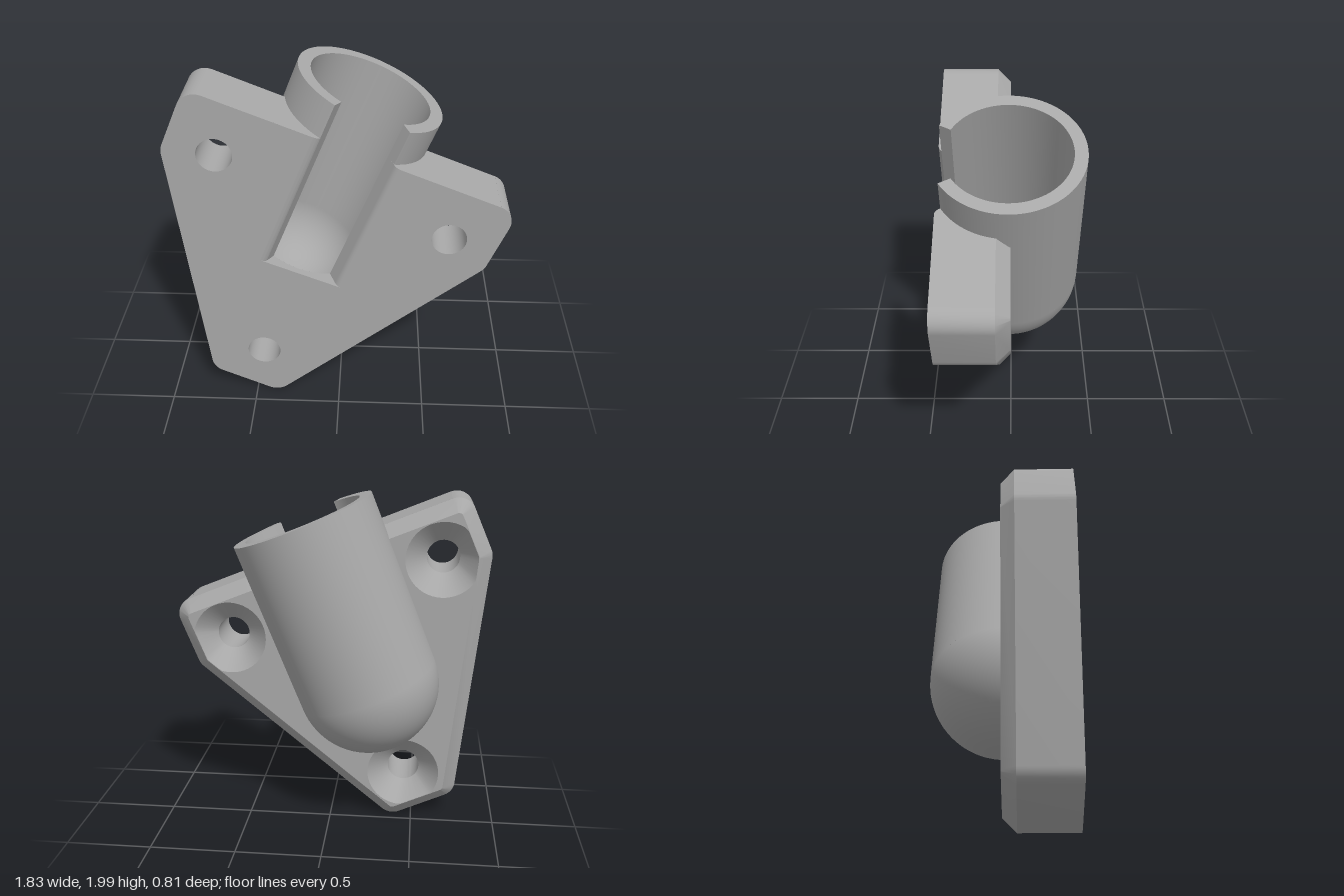
import * as THREE from 'three';
import { toCreasedNormals } from 'three/addons/utils/BufferGeometryUtils.js';

// Everything is built in a frame whose y runs along the socket axis, with the rim centre as origin.
const TILT = 0.3805, RIM = [0.1575, 1.845];
const C = Math.cos(TILT), S = Math.sin(TILT);
const FRONT = 0.4, CHAMFER = 0.075, ROUND = 0.1;   // plate
const TOP = -0.2, END = -1.03;                     // plate top edge, slot end
const R_OUT = 0.417, R_IN = 0.345, R_MID = 0.39, CZ = 0.012; // socket
const HOLE = 0.095, SINK = 0.215, SINK_DEPTH = 0.12;
const SLOT_X = 0.012, SLOT_IN = 0.17, SLOT_OUT = 0.203, SLOT_FACE = 0.24;

const local = ([x, y]) => {
  const dx = x - RIM[0], dy = y - RIM[1];
  return new THREE.Vector2(dx * C - dy * S, dx * S + dy * C);
};
const corners = [[-0.765, 1.998], [-0.915, 1.66], [-0.758, 0.165], [-0.37, -0.012], [0.8, 0.95], [0.945, 1.315]].map(local);
const holes = [[-0.64, 1.63], [0.595, 1.14], [-0.445, 0.315]].map(local);

// Inward normal of the edge that leaves each corner
const normals = corners.map((p, i) => {
  const d = corners[(i + 1) % corners.length].clone().sub(p).normalize();
  return new THREE.Vector2(-d.y, d.x);
});

// Rounded plate outline, moved inward by inset
function outline(inset) {
  const pts = [];
  corners.forEach((p, i) => {
    const n1 = normals[(i + corners.length - 1) % corners.length], n2 = normals[i];
    const centre = n1.clone().add(n2).multiplyScalar(ROUND / (1 + n1.dot(n2))).add(p);
    const a1 = Math.atan2(n1.y, n1.x), turn = Math.acos(n1.dot(n2));
    for (let k = 0; k <= 8; k++) {
      const a = a1 + turn * k / 8, r = ROUND - inset;
      pts.push(new THREE.Vector2(centre.x - r * Math.cos(a), centre.y - r * Math.sin(a)));
    }
  });
  return pts;
}

// Ring round a hole; the countersink stops at the chamfer
function ring(c, radius, clipped) {
  const pts = [];
  for (let k = 0; k < 48; k++) {
    const a = k / 48 * Math.PI * 2, u = new THREE.Vector2(Math.cos(a), Math.sin(a));
    let r = radius;
    if (clipped) normals.forEach((n, i) => {
      const dist = c.clone().sub(corners[i]).dot(n) - CHAMFER - 0.003;
      if (u.dot(n) < 0) r = Math.min(r, dist / -u.dot(n));
    });
    pts.push(u.multiplyScalar(r).add(c));
  }
  return pts;
}

const atZ = (pts, z) => pts.map(p => new THREE.Vector3(p.x, p.y, z));
const atY = (pts, y) => pts.map(p => new THREE.Vector3(p.x, y, p.y));

// Band of faces between two rows of points
function strip(a, b, closed = false) {
  const pos = [], n = a.length;
  for (let i = 0; i < (closed ? n : n - 1); i++) {
    const j = (i + 1) % n;
    for (const v of [a[i], a[j], b[j], a[i], b[j], b[i]]) pos.push(v.x, v.y, v.z);
  }
  const g = new THREE.BufferGeometry();
  g.setAttribute('position', new THREE.Float32BufferAttribute(pos, 3));
  return toCreasedNormals(g, 0.5);
}

function face(pts, rings, z, flip) {
  const shape = new THREE.Shape(pts);
  shape.holes = rings.map(r => new THREE.Path(r));
  const g = new THREE.ShapeGeometry(shape);
  if (flip) g.index.array.reverse();
  g.computeVertexNormals();
  return g.translate(0, 0, z);
}

// Shape given as (x, z) points, laid level
const levelShape = pts => new THREE.Shape(pts.map(p => new THREE.Vector2(p.x, -p.y)));
const levelFace = (pts, y) => new THREE.ShapeGeometry(levelShape(pts)).rotateX(-Math.PI / 2).translate(0, y, 0);

const slotX = (side, half) => SLOT_X + side * half;
const onCircle = (r, a) => new THREE.Vector2(r * Math.cos(a), CZ + r * Math.sin(a));
function arc(r, from, to, n) {
  return Array.from({ length: n + 1 }, (_, i) => onCircle(r, from + (to - from) * i / n));
}

// Rounded slot lip from the socket wall out to the plate front, as (x, z)
function lip(side) {
  const start = onCircle(R_OUT, Math.acos(slotX(side, SLOT_OUT) / R_OUT));
  const end = new THREE.Vector2(slotX(side, SLOT_FACE), FRONT);
  const ctrl = new THREE.Vector2(slotX(side, 0.214), FRONT - 0.004);
  return new THREE.QuadraticBezierCurve(start, ctrl, end).getPoints(6);
}

export function createModel() {
  const root = new THREE.Group();
  root.name = 'angledSocketBracket';
  const body = new THREE.Group();
  body.name = 'body';
  body.rotation.z = -TILT;
  body.position.set(RIM[0], RIM[1], 0);
  root.add(body);

  const grey = new THREE.MeshStandardMaterial({ color: 0xa8a8a8, side: THREE.DoubleSide });
  grey.name = 'grey';
  const add = (name, geometry) => {
    const m = new THREE.Mesh(geometry, grey);
    m.name = name;
    body.add(m);
  };
  const V = (x, y) => new THREE.Vector2(x, y);

  // Plate faces, with the slot open in front and the socket passing through the back
  const outer = outline(0), inner = outline(CHAMFER);
  const r = slotX(1, SLOT_FACE), l = slotX(-1, SLOT_FACE);
  add('plateFront', face([...outer, V(r, TOP), V(r, END), V(l, END), V(l, TOP)],
    holes.map(h => ring(h, HOLE)), FRONT));
  const cut = [V(R_MID, TOP - CHAMFER)];
  for (let k = 0; k <= 32; k++) {
    const a = -Math.PI * k / 32;
    cut.push(V(R_MID * Math.cos(a), END + R_MID * Math.sin(a)));
  }
  cut.push(V(-R_MID, TOP - CHAMFER));
  add('plateBack', face([...inner, ...cut], holes.map(h => ring(h, SINK, true)), 0, true));

  // Plate edges
  add('plateSide', strip(atZ(outer, CHAMFER), atZ(outer, FRONT)));
  const ends = (pts, y) => [V(-R_MID, y), ...pts, V(R_MID, y)];
  add('plateChamfer', strip(atZ(ends(inner, TOP - CHAMFER), 0), atZ(ends(outer, TOP), CHAMFER)));
  for (const side of [-1, 1]) {
    const x = side < 0 ? outer[0].x : outer[outer.length - 1].x;
    const edge = lip(side);
    const lipAngle = Math.acos(slotX(side, SLOT_OUT) / R_OUT);
    const from = side < 0 ? Math.PI - 0.16 : 0.16;
    add('plateTop', levelFace([V(x, CHAMFER), V(side * R_MID, CHAMFER),
      ...arc(R_MID, from, lipAngle, 12), ...edge, V(x, FRONT)], TOP));
    const low = atY(edge, END), high = atY(edge, TOP);
    add('slotLip', side > 0 ? strip(low, high) : strip(high, low));
  }

  // Countersunk screw holes
  for (const h of holes) {
    const bore = ring(h, HOLE);
    add('screwHole', strip(atZ(bore, FRONT), atZ(bore, SINK_DEPTH), true));
    add('countersink', strip(atZ(bore, SINK_DEPTH), atZ(ring(h, SINK, true), 0), true));
  }

  // Slotted tube
  const angle = (side, half, rad) => Math.acos(slotX(side, half) / rad);
  const outR = angle(1, SLOT_OUT, R_OUT), outL = angle(-1, SLOT_OUT, R_OUT);
  const inR = angle(1, SLOT_IN, R_IN), inL = angle(-1, SLOT_IN, R_IN);
  const section = [...arc(R_OUT, outR, outL - 2 * Math.PI, 72), ...arc(R_IN, inL - 2 * Math.PI, inR, 72)];
  const tube = new THREE.ExtrudeGeometry(levelShape(section), { depth: -END, bevelEnabled: false });
  add('socketTube', toCreasedNormals(tube.rotateX(-Math.PI / 2).translate(0, END, 0), 0.5));

  // Ledge at the lower end of the slot
  add('slotEnd', levelFace([...arc(R_IN, inL, inR, 16), ...lip(1), ...lip(-1).reverse()], END));

  // Rounded closed end, outside and inside
  add('socketDome', new THREE.SphereGeometry(R_OUT, 40, 20, Math.PI, Math.PI, Math.PI / 2, Math.PI / 2)
    .translate(0, END, CZ));
  const bowl = new THREE.SphereGeometry(R_IN, 56, 20, 0, Math.PI * 2, Math.PI / 2, Math.PI / 2);
  bowl.index.array.reverse();
  const bowlNormals = bowl.attributes.normal;
  for (let i = 0; i < bowlNormals.array.length; i++) bowlNormals.array[i] *= -1;
  add('socketFloor', bowl.translate(0, END, CZ));

  return root;
}
